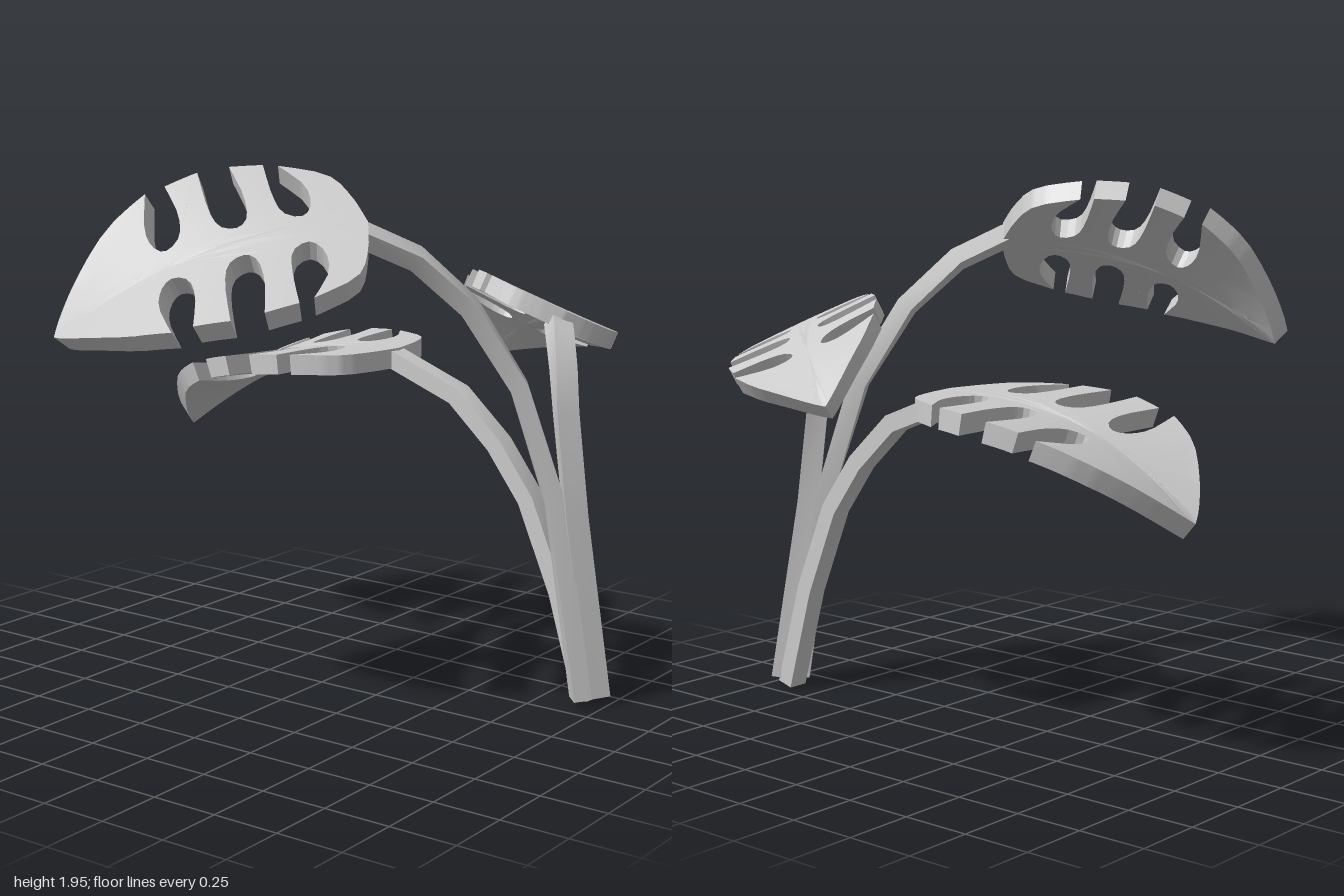
import * as THREE from 'three';
import { toCreasedNormals } from 'three/addons/utils/BufferGeometryUtils.js';

const material = new THREE.MeshStandardMaterial({ color: 0xcccccc });
const V = (x, y, z) => new THREE.Vector3(x, y, z);

// Half outline of the leaf (distance from stalk, half width); each list is one smooth run between corners
const RUNS = [
  [[0, 0], [0.03, 0.155], [0.09, 0.283], [0.245, 0.364]],
  [[0.245, 0.364], [0.175, 0.24], [0.17, 0.13], [0.21, 0.07], [0.27, 0.107], [0.29, 0.214], [0.295, 0.38]],
  [[0.295, 0.38], [0.41, 0.4]],
  [[0.41, 0.4], [0.385, 0.24], [0.39, 0.118], [0.43, 0.075], [0.485, 0.107], [0.51, 0.214], [0.52, 0.405]],
  [[0.52, 0.405], [0.637, 0.38]],
  [[0.637, 0.38], [0.61, 0.225], [0.62, 0.118], [0.67, 0.075], [0.71, 0.118], [0.727, 0.214], [0.706, 0.375]],
  [[0.706, 0.375], [0.85, 0.29], [0.97, 0.16], [1.04, 0.06], [1.07, 0]],
];

// One half of the leaf, closed along the midrib
function halfLeafShape() {
  const points = [];
  for (const run of RUNS) {
    const curve = new THREE.SplineCurve(run.map(([d, w]) => new THREE.Vector2(d, w)));
    const n = run.length === 2 ? 1 : run.length * 2;
    points.push(...curve.getPoints(n).slice(0, -1));
  }
  for (const d of [1.07, 0.9, 0.67, 0.43, 0.21]) points.push(new THREE.Vector2(d, 0));
  return new THREE.Shape(points);
}

// Split every triangle into four so the flat blade can bend
function subdivide(points) {
  const out = [];
  for (let i = 0; i < points.length; i += 3) {
    const [a, b, c] = points.slice(i, i + 3);
    const ab = a.clone().lerp(b, 0.5), bc = b.clone().lerp(c, 0.5), ca = c.clone().lerp(a, 0.5);
    out.push(a, ab, ca, ab, b, bc, ca, bc, c, ab, bc, ca);
  }
  return out;
}

function leafGeometry(thickness) {
  const flat = new THREE.ExtrudeGeometry(halfLeafShape(), { depth: thickness, bevelEnabled: false });
  const pos = (flat.index ? flat.toNonIndexed() : flat).attributes.position;
  let points = [];
  for (let i = 0; i < pos.count; i += 3) {
    const tri = [0, 1, 2].map((k) => new THREE.Vector3().fromBufferAttribute(pos, i + k));
    // Leave out the wall inside the leaf, mirror the rest across the midrib
    if (tri.every((p) => Math.abs(p.y) < 1e-6)) continue;
    points.push(...tri, ...tri.map((p) => V(p.x, -p.y, p.z)).reverse());
  }
  points = subdivide(subdivide(points));
  // Droop toward the tip and fold gently upward along the midrib
  const bent = points.map((p) => {
    const slope = 0.78 * p.x ** 1.6, len = Math.hypot(1, slope), depth = p.z - thickness;
    const fold = 0.24 * p.x * p.x * Math.abs(p.y);
    return V(p.x + (depth * slope) / len, p.y, fold - 0.3 * p.x ** 2.6 + depth / len);
  });
  return toCreasedNormals(new THREE.BufferGeometry().setFromPoints(bent), 0.4);
}

// Bar with a rectangular section swept along a few points
function stemGeometry(path, side, width, height) {
  const rings = path.map((p, i) => {
    const t = path[Math.min(i + 1, path.length - 1)].clone().sub(path[Math.max(i - 1, 0)]).normalize();
    const s = side.clone().addScaledVector(t, -side.dot(t)).normalize();
    const n = t.clone().cross(s);
    return [[1, 1], [-1, 1], [-1, -1], [1, -1]].map(([a, b]) =>
      p.clone().addScaledVector(s, (a * width) / 2).addScaledVector(n, (b * height) / 2));
  });
  const tris = [];
  const quad = (a, b, c, d) => tris.push(a, b, c, a, c, d);
  for (let i = 0; i < rings.length - 1; i++) {
    for (let k = 0; k < 4; k++) {
      const m = (k + 1) % 4;
      quad(rings[i][k], rings[i][m], rings[i + 1][m], rings[i + 1][k]);
    }
  }
  const last = rings[rings.length - 1];
  quad(rings[0][3], rings[0][2], rings[0][1], rings[0][0]);
  quad(last[0], last[1], last[2], last[3]);
  return toCreasedNormals(new THREE.BufferGeometry().setFromPoints(tris), 0.6);
}

// Each frond: blade base, forward and up directions, size, and stem points from blade to ground
const FRONDS = [
  {
    name: 'lowFrond', base: V(0.07, 1.235, -0.4), forward: V(-1, 0, 0), up: V(0, 1, 0), scale: 1, thickness: 0.075,
    stem: [[0.05, 1.197, -0.4], [0.34, 1.085, -0.4], [0.52, 0.92, -0.4], [0.66, 0.73, -0.4], [0.8, 0.4, -0.4], [0.915, 0.01, -0.4]],
  },
  {
    name: 'tallFrond', base: V(0.36, 1.785, 0.22), forward: V(-0.695, -0.08, 0.703), up: V(0.34, 0.85, 0.37), scale: 1.03, thickness: 0.078,
    stem: [[0.34, 1.74, 0.23], [0.46, 1.65, 0.07], [0.585, 1.475, -0.08], [0.715, 1.185, -0.21], [0.83, 0.76, -0.285], [0.92, 0.03, -0.345]],
  },
  {
    name: 'smallFrond', base: V(0.78, 1.435, -0.42), forward: V(-0.69, 0.015, -0.75), up: V(0.378, 0.923, -0.218), scale: 0.72, thickness: 0.068,
    stem: [[0.73, 1.39, -0.45], [0.79, 1.36, -0.36], [0.845, 1.25, -0.295], [0.865, 1.1, -0.285], [0.9, 0.72, -0.31], [0.953, 0.03, -0.415]],
  },
];

export function createModel() {
  const model = new THREE.Group();
  model.name = 'plant';
  for (const { name, base, forward, up, scale, thickness, stem } of FRONDS) {
    const frond = new THREE.Group();
    frond.name = name;

    // Square up the blade's axes: forward, sideways, up
    const f = forward.clone().normalize();
    const s = up.clone().cross(f).normalize();
    const u = f.clone().cross(s);

    const leaf = new THREE.Mesh(leafGeometry(thickness / scale), material);
    leaf.name = 'leaf';
    leaf.quaternion.setFromRotationMatrix(new THREE.Matrix4().makeBasis(f, s, u));
    leaf.position.copy(base);
    leaf.scale.setScalar(scale);

    const stalk = new THREE.Mesh(stemGeometry(stem.map((p) => V(...p)), s, 0.08, 0.066), material);
    stalk.name = 'stem';
    frond.add(leaf, stalk);
    model.add(frond);
  }
  return model;
}
